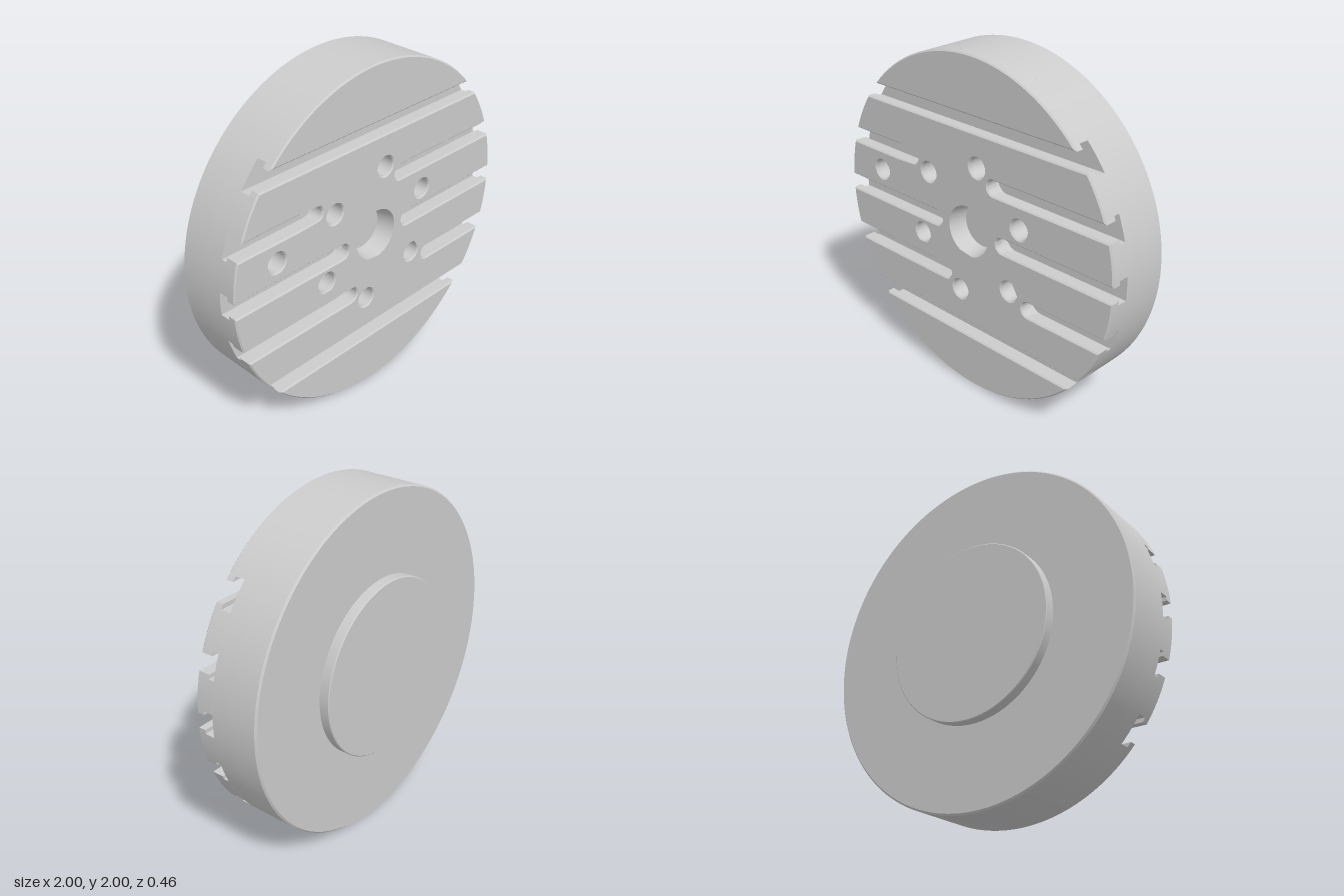
import * as THREE from 'three';
import { toCreasedNormals } from 'three/addons/utils/BufferGeometryUtils.js';

const R = 1, NECK = 0.045, HEAD = 0.068;   // disc radius, half widths of the T-slots
const THROUGH = 0.632;                     // height of the two full-width slots
const EDGE = 0.008;                        // small chamfer on the front edges
// Blind slots opening to the right; the left ones are these turned by 180 degrees
const SLOTS = [
  { y: -0.316, tip: 0.4 },
  { y: 0, tip: 0.21 },
  { y: 0.316, tip: 0.145 },
];
const HOLES = [[0.07, 0.395], [-0.31, 0.26], [-0.715, 0.155], [0.375, 0.14],
  [-0.375, -0.135], [0.305, -0.255], [-0.07, -0.39]];

// Points on an arc from angle a to angle b
function arc(cx, cy, r, a, b, n) {
  return Array.from({ length: n + 1 }, (_, i) => {
    const t = a + (b - a) * i / n;
    return new THREE.Vector2(cx + r * Math.cos(t), cy + r * Math.sin(t));
  });
}
const turned = pts => pts.map(p => new THREE.Vector2(-p.x, -p.y));

// Outlines of one layer: middle band with blind slots, plus the two outer segments.
// outer = half width of through and centre slots, inner = half width of the other slots
function outlines(outer, inner, grow) {
  const r = R - grow, wo = outer + grow, wi = inner + grow;
  const angle = y => Math.asin(y / r);
  const side = [];
  let from = -(THROUGH - wo);
  for (const s of SLOTS) {
    const w = s.y === 0 ? wo : wi;
    side.push(...arc(0, 0, r, angle(from), angle(s.y - w), 10));
    side.push(...arc(s.tip + NECK, s.y, w, -Math.PI / 2, -Math.PI * 1.5, 20));
    from = s.y + w;
  }
  side.push(...arc(0, 0, r, angle(from), angle(THROUGH - wo), 10));
  const a = angle(THROUGH + wo);
  const cap = arc(0, 0, r, a, Math.PI - a, 48);
  return [[...side, ...turned(side)], cap, turned(cap)];
}

const boltHoles = grow => HOLES.map(([x, y]) =>
  arc(x, y, 0.058 + grow, 0, Math.PI * 2, 32).slice(0, -1));
const centreHole = arc(0, 0, 0.15, 0, Math.PI * 2, 64).slice(0, -1);

// Extrude an outline from z0 to z1; the front vertices may follow a second outline
function slab(loops, z0, z1, frontLoops) {
  const shape = new THREE.Shape(loops[0]);
  shape.holes = loops.slice(1).map(l => new THREE.Path(l));
  const geo = new THREE.ExtrudeGeometry(shape, { depth: z1 - z0, bevelEnabled: false });
  if (frontLoops) {
    const key = (x, y) => x.toFixed(4) + ',' + y.toFixed(4);
    const target = new Map();
    loops.forEach((l, i) => l.forEach((p, j) => target.set(key(p.x, p.y), frontLoops[i][j])));
    const pos = geo.attributes.position;
    for (let i = 0; i < pos.count; i++) {
      const p = target.get(key(pos.getX(i), pos.getY(i)));
      if (p && pos.getZ(i) > (z1 - z0) / 2) pos.setXY(i, p.x, p.y);
    }
  }
  geo.translate(0, 0, z0);
  return toCreasedNormals(geo, 0.5);
}

// Turned part around the z axis from [radius, z] points
function turnedPart(points, segments) {
  const geo = new THREE.LatheGeometry(points.map(p => new THREE.Vector2(...p)), segments);
  geo.rotateX(Math.PI / 2);
  return toCreasedNormals(geo, 0.5);
}

export function createModel() {
  const model = new THREE.Group();
  model.name = 'facePlate';
  const material = new THREE.MeshStandardMaterial({ color: 0xcccccc });
  const add = (name, geo) => {
    const mesh = new THREE.Mesh(geo, material);
    mesh.name = name;
    mesh.position.y = 1;
    model.add(mesh);
  };

  // Back disc with chamfered rim and mounting boss
  add('backDisc', turnedPart([[0, -0.23], [0.515, -0.23], [0.52, -0.225], [0.52, -0.17],
    [0.99, -0.17], [R, -0.16], [R, 0], [0, 0]], 160));

  // Body behind the slots, holding the blind bolt holes
  const disc = arc(0, 0, R, 0, Math.PI * 2, 160).slice(0, -1);
  add('slotFloor', slab([disc, ...boltHoles(0)], 0, 0.12));

  // Slotted layers: wide T heads below, narrow necks above, chamfered front edges
  const layers = [
    { name: 'wideHeadLayer', z: [0.12, 0.155], outer: HEAD, inner: HEAD },
    { name: 'deepHeadLayer', z: [0.155, 0.18], outer: HEAD, inner: NECK },
    { name: 'neckLayer', z: [0.18, 0.23 - EDGE], outer: NECK, inner: NECK },
    { name: 'frontFace', z: [0.23 - EDGE, 0.23], outer: NECK, inner: NECK, grow: EDGE },
  ];
  for (const { name, z, outer, inner, grow } of layers) {
    const front = grow && outlines(outer, inner, grow);
    outlines(outer, inner, 0).forEach((line, i) => {
      const holes = g => (i === 0 ? [...boltHoles(g), centreHole] : []);
      const part = ['Middle', 'Top', 'Bottom'][i];
      add(name + part, slab([line, ...holes(0)], z[0], z[1],
        front && [front[i], ...holes(grow)]));
    });
  }

  // Tapered wall of the centre bore
  add('centreTaper', turnedPart([[0.15, 0.23], [0.13, 0.12]], 64));
  return model;
}
